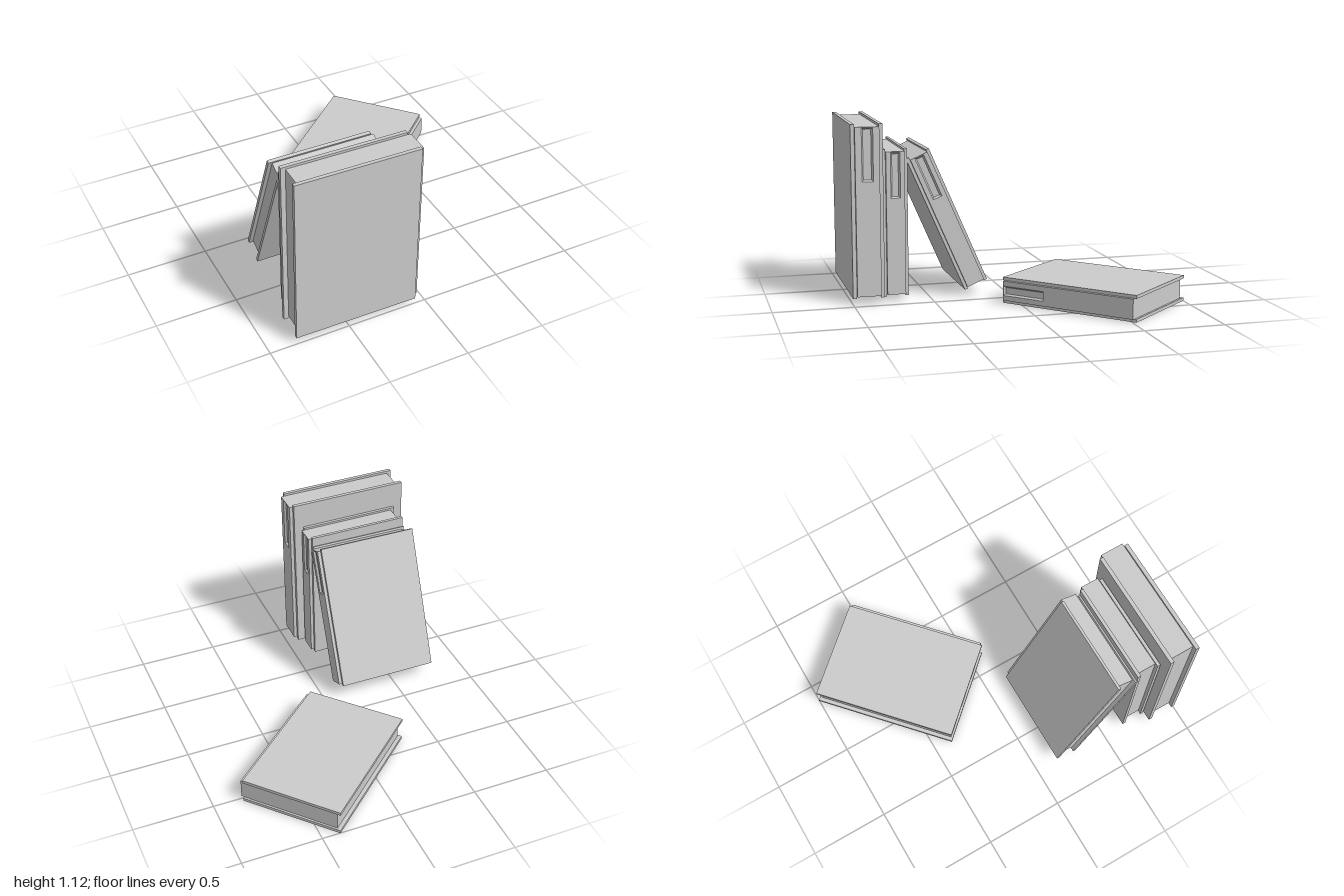
import * as THREE from 'three';

const material = new THREE.MeshStandardMaterial({ color: 0xcccccc, flatShading: true });

function mesh(name, geometry, x = 0, y = 0, z = 0) {
  const m = new THREE.Mesh(geometry, material);
  m.name = name;
  m.position.set(x, y, z);
  return m;
}

// Corners of a rectangle, anticlockwise
const rect = (w, h, cy = 0) => [[-w / 2, cy - h / 2], [w / 2, cy - h / 2], [w / 2, cy + h / 2], [-w / 2, cy + h / 2]];
const points = (corners) => corners.map(([x, y]) => new THREE.Vector2(x, y));

// Shallow tray with sloping walls, opening towards +z
function recessGeometry(w, h, cy, front, back, slope) {
  const outer = rect(w, h, cy).map(([x, y]) => [x, y, front]);
  const inner = rect(w - 2 * slope, h - 2 * slope, cy).map(([x, y]) => [x, y, back]);
  const index = [4, 5, 6, 4, 6, 7];
  for (let i = 0; i < 4; i++) {
    const j = (i + 1) % 4;
    index.push(i, j, 4 + j, i, 4 + j, 4 + i);
  }
  const g = new THREE.BufferGeometry();
  g.setAttribute('position', new THREE.Float32BufferAttribute([...outer, ...inner].flat(), 3));
  g.setIndex(index);
  const flat = g.toNonIndexed();
  flat.computeVertexNormals();
  return flat;
}

// Upright book centred on its covers, with the spine towards +x
function makeBook(name, { width, height, thick, board, fore, inset, spine, labelW, labelH, labelGap }) {
  const book = new THREE.Group();
  book.name = name;
  const inner = thick - 2 * board;
  const innerH = height - 2 * inset;

  // Cover boards
  for (const side of [1, -1]) {
    book.add(mesh(side > 0 ? 'frontCover' : 'backCover',
      new THREE.BoxGeometry(width, height, board), 0, 0, side * (thick - board) / 2));
  }

  // Page block, set back from the cover edges
  book.add(mesh('pages', new THREE.BoxGeometry(width - fore, innerH, inner), fore / 2));

  // Spine with a sunken label panel near its top
  const labelY = height / 2 - labelGap - labelH / 2;
  const shape = new THREE.Shape(points(rect(inner, innerH)));
  shape.holes.push(new THREE.Path(points(rect(labelW, labelH, labelY)).reverse()));
  const slab = new THREE.ExtrudeGeometry(shape, { depth: spine, bevelEnabled: false });
  const panel = recessGeometry(labelW, labelH, labelY, spine, spine * 0.35, 0.01);
  for (const [part, g] of [['spine', slab], ['labelPanel', panel]]) {
    g.rotateY(Math.PI / 2);
    book.add(mesh(part, g, width / 2));
  }
  return book;
}

export function createModel() {
  const model = new THREE.Group();
  model.name = 'books';

  const small = {
    width: 0.645, height: 0.925, thick: 0.157, board: 0.02, fore: 0.025, inset: 0.013,
    spine: 0.02, labelW: 0.06, labelH: 0.285, labelGap: 0.018,
  };
  const large = {
    width: 0.77, height: 1.08, thick: 0.198, board: 0.024, fore: 0.029, inset: 0.015,
    spine: 0.022, labelW: 0.07, labelH: 0.33, labelGap: 0.02,
  };
  const deg = Math.PI / 180;

  // name, size, position, rotation
  const layout = [
    ['largeUprightBook', large, [-0.443, 0.58, 0.9], [0, 0, -0.6 * deg]],
    ['smallUprightBook', small, [-0.442, 0.492, 0.718], [0, 0, -0.6 * deg]],
    ['leaningBook', small, [-0.442, 0.493, 0.39], [23.5 * deg, 0, 0]],
    ['lyingBook', { ...small, thick: 0.163 }, [0.258, 0.0815, -0.453], [Math.PI / 2, 0, 48 * deg]],
  ];
  for (const [name, size, position, rotation] of layout) {
    const book = makeBook(name, size);
    book.position.set(...position);
    book.rotation.set(...rotation);
    model.add(book);
  }
  return model;
}
